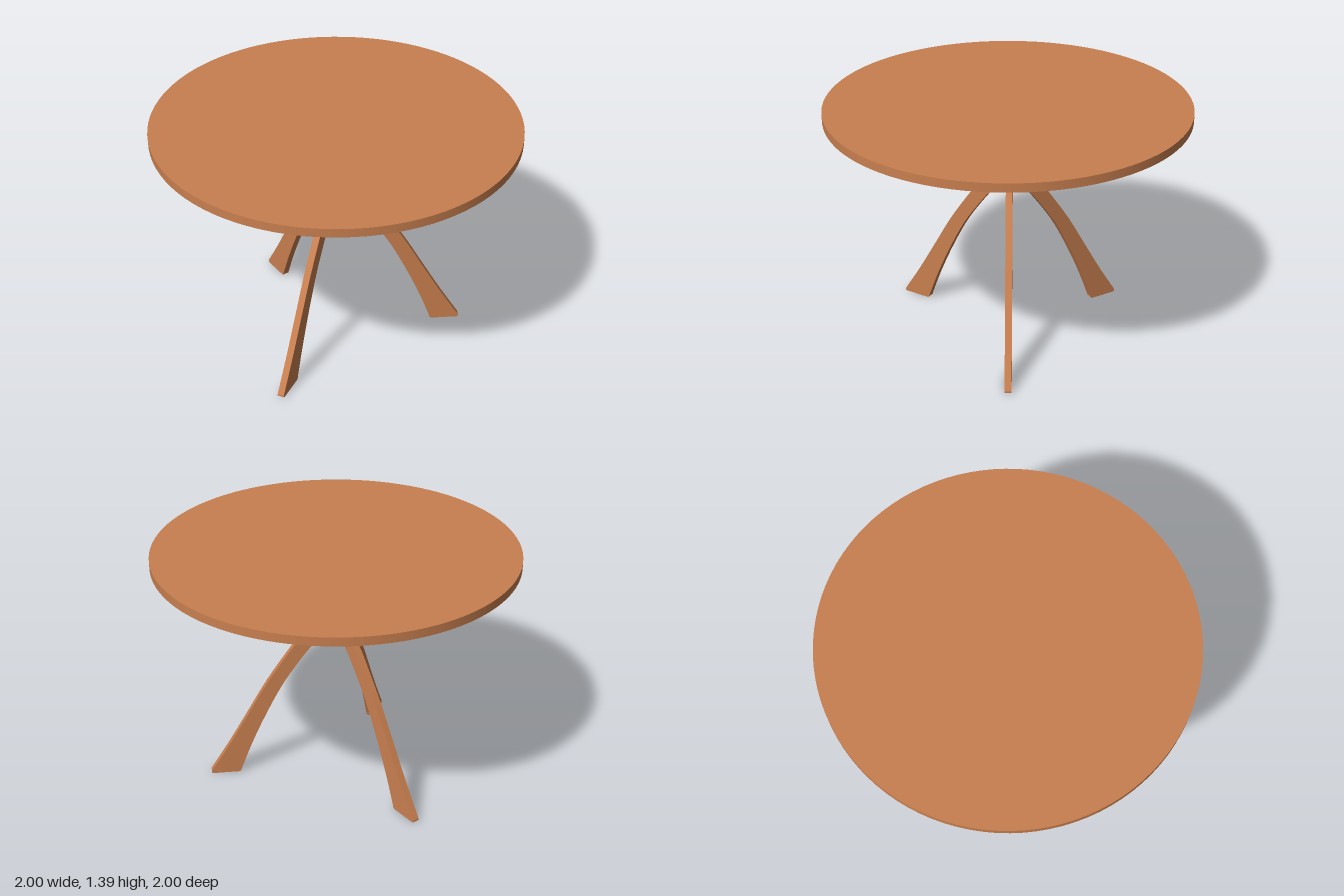
import * as THREE from 'three';
import { toCreasedNormals } from 'three/addons/utils/BufferGeometryUtils.js';

const TOP_Y = 1.39, UNDER_Y = 1.342, LEG_THICKNESS = 0.038;

// Smooth curve through [radius, height] pairs
const spline = (pairs, n) =>
  new THREE.SplineCurve(pairs.map(([r, y]) => new THREE.Vector2(r, y))).getPoints(n);

// Curved leg blade: x is the distance from the pivot, y is height
function legGeometry() {
  const outer = spline([[0.732, 0.015], [0.616, 0.2], [0.5, 0.4], [0.384, 0.6], [0.248, 0.8],
    [0.172, 0.9], [0.122, 0.98], [0.112, 1.03], [0.133, 1.1], [0.197, 1.2], [0.295, 1.3], [0.335, UNDER_Y]], 48);
  const inner = spline([[0.254, UNDER_Y], [0.206, 1.3], [0.09, 1.2], [0.028, 1.1], [0.01, 1.02],
    [0.026, 0.95], [0.074, 0.88], [0.154, 0.79], [0.288, 0.6], [0.395, 0.4], [0.486, 0.2], [0.558, 0.015]], 48);
  const foot = [[0.559, 0.008], [0.567, 0], [0.724, 0], [0.732, 0.006]]
    .map(([r, y]) => new THREE.Vector2(r, y));
  const geometry = new THREE.ExtrudeGeometry(new THREE.Shape([...outer, ...inner, ...foot]), {
    depth: LEG_THICKNESS, bevelEnabled: false,
  });
  geometry.translate(0, 0, -LEG_THICKNESS / 2);
  return toCreasedNormals(geometry, Math.PI / 6);
}

export function createModel() {
  const table = new THREE.Group();
  table.name = 'roundTable';
  const wood = new THREE.MeshStandardMaterial({ color: 0xc87f4f });

  // Round top
  const top = new THREE.Mesh(new THREE.CylinderGeometry(1, 1, TOP_Y - UNDER_Y, 96), wood);
  top.name = 'tabletop';
  top.position.y = (TOP_Y + UNDER_Y) / 2;
  table.add(top);

  // Three legs around a pivot, the first one facing forward
  const legs = new THREE.Group();
  legs.name = 'legs';
  legs.position.z = -0.01;
  const geometry = legGeometry();
  ['frontLeg', 'backLeftLeg', 'backRightLeg'].forEach((name, i) => {
    const leg = new THREE.Mesh(geometry, wood);
    leg.name = name;
    leg.rotation.y = -Math.PI / 2 + (i * Math.PI * 2) / 3;
    legs.add(leg);
  });
  table.add(legs);
  return table;
}
